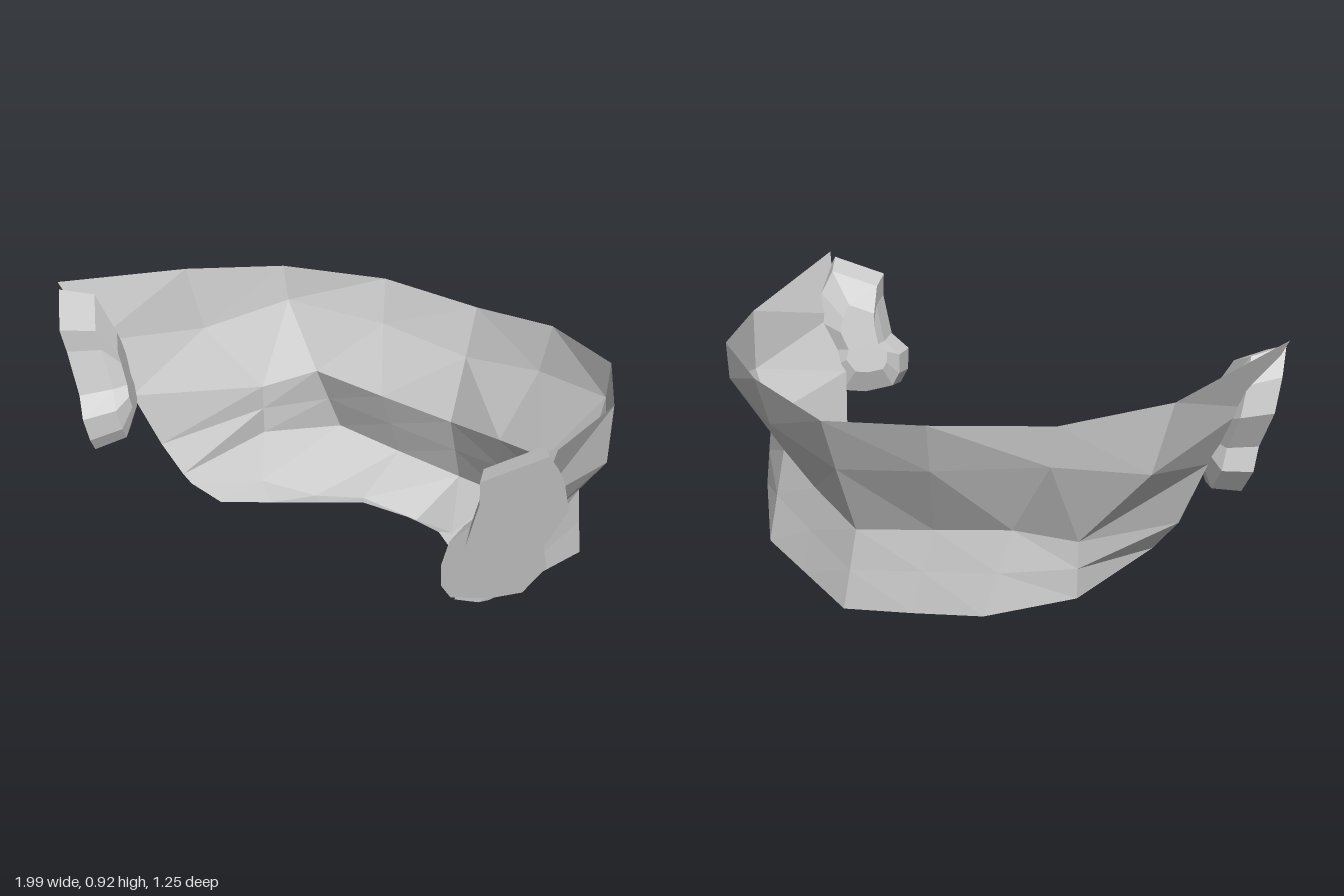
import * as THREE from 'three';

const material = new THREE.MeshStandardMaterial({ color: 0xcccccc, flatShading: true, side: THREE.DoubleSide });

// Joins rows of points into facets: an open sheet, or a capped solid when closed.
function loft(rows, closed, flip) {
  const pos = [];
  const tri = (a, b, c) => (flip ? pos.push(...a, ...c, ...b) : pos.push(...a, ...b, ...c));
  const n = rows[0].length;
  for (let i = 0; i < rows.length - 1; i++) {
    for (let j = 0; j < (closed ? n : n - 1); j++) {
      const k = (j + 1) % n;
      tri(rows[i][j], rows[i][k], rows[i + 1][k]);
      tri(rows[i][j], rows[i + 1][k], rows[i + 1][j]);
    }
  }
  if (closed) {
    const first = rows[0], last = rows[rows.length - 1];
    const a = centre(first), b = centre(last);
    for (let j = 0; j < n; j++) {
      const k = (j + 1) % n;
      tri(a, first[k], first[j]);
      tri(b, last[j], last[k]);
    }
  }
  const geometry = new THREE.BufferGeometry();
  geometry.setAttribute('position', new THREE.Float32BufferAttribute(pos, 3));
  geometry.computeVertexNormals();
  return geometry;
}

const centre = (row) => [0, 1, 2].map((k) => row.reduce((s, p) => s + p[k], 0) / row.length);
const mirror = (row) => row.map(([x, y, z]) => [-x, y, z]);

function addMesh(group, name, geometry) {
  const mesh = new THREE.Mesh(geometry, material);
  mesh.name = name;
  group.add(mesh);
}

// Each section of the guard: top edge, middle, waist, flare, hem, underside, inner rim
const backSection = [[0, 0.725, -0.62], [0, 0.55, -0.56], [0, 0.32, -0.475], [0, 0.19, -0.508],
  [0, 0.065, -0.54], [0, 0, -0.27], [0, 0.04, -0.215]];
const frontSection = [[0.99, 0.92, 0.46], [0.9, 0.7, 0.39], [0.8, 0.5, 0.335], [0.74, 0.3, 0.27],
  [0.66, 0.195, 0.25], [0.62, 0.17, 0.25], [0.51, 0.12, 0.22]];

// The two sides differ slightly at the waist and hem
const leftSections = [
  [[0.36, 0.77, -0.55], [0.34, 0.61, -0.51], [0.27, 0.37, -0.385], [0.255, 0.235, -0.43],
    [0.24, 0.1, -0.475], [0.2, 0.05, -0.21], [0.17, 0.06, -0.17]],
  [[0.69, 0.79, -0.37], [0.68, 0.665, -0.37], [0.51, 0.42, -0.29], [0.49, 0.275, -0.35],
    [0.47, 0.13, -0.41], [0.34, 0.05, -0.14], [0.3, 0.05, -0.09]],
  [[0.87, 0.81, -0.07], [0.85, 0.6, -0.09], [0.74, 0.45, -0.125], [0.74, 0.325, -0.143],
    [0.74, 0.2, -0.16], [0.54, 0.115, 0.02], [0.41, 0.08, 0.06]],
];
const rightSections = [
  [[0.36, 0.77, -0.55], [0.34, 0.61, -0.51], [0.27, 0.37, -0.41], [0.26, 0.24, -0.453],
    [0.25, 0.11, -0.495], [0.2, 0.05, -0.21], [0.17, 0.06, -0.17]],
  [[0.7, 0.795, -0.37], [0.68, 0.665, -0.37], [0.53, 0.42, -0.35], [0.515, 0.29, -0.4],
    [0.5, 0.16, -0.45], [0.36, 0.04, -0.13], [0.3, 0.05, -0.09]],
  [[0.9, 0.83, -0.06], [0.85, 0.6, -0.09], [0.67, 0.37, -0.2], [0.67, 0.28, -0.2],
    [0.67, 0.18, -0.2], [0.51, 0.11, 0], [0.41, 0.08, 0.06]],
];

// Bone-shaped outline of the knob's outer face: z, y
const knobOutline = [[0.47, 0.9], [0.6, 0.83], [0.585, 0.75], [0.585, 0.6], [0.625, 0.54], [0.61, 0.46],
  [0.58, 0.41], [0.49, 0.39], [0.42, 0.4], [0.385, 0.49], [0.41, 0.57], [0.385, 0.7], [0.42, 0.81]];

export function createModel() {
  const group = new THREE.Group();
  group.name = 'backGuard';

  // Thin horseshoe shell: leaning wall, pinched waist, flared hem and floor
  addMesh(group, 'leftGuard', loft([backSection, ...leftSections, frontSection], false, true));
  addMesh(group, 'rightGuard', loft([backSection, ...rightSections, frontSection].map(mirror), false, false));

  // Knobs: slanted outer face, rim behind it and a smaller bulging inner face
  const outer = knobOutline.map(([z, y]) => [1.145 + 0.28 * y - 0.9 * z, y, z]);
  const [cx, cy, cz] = centre(outer);
  const behind = (scale, dx, dz) => outer.map(([x, y, z]) =>
    [cx + (x - cx) * scale + dx, cy + (y - cy) * scale, cz + (z - cz) * scale + dz]);
  const knob = [behind(0.5, -0.105, -0.115), behind(0.9, -0.06, -0.095), outer];
  addMesh(group, 'leftKnob', loft(knob, true, false));
  addMesh(group, 'rightKnob', loft(knob.map(mirror), true, true));

  return group;
}
